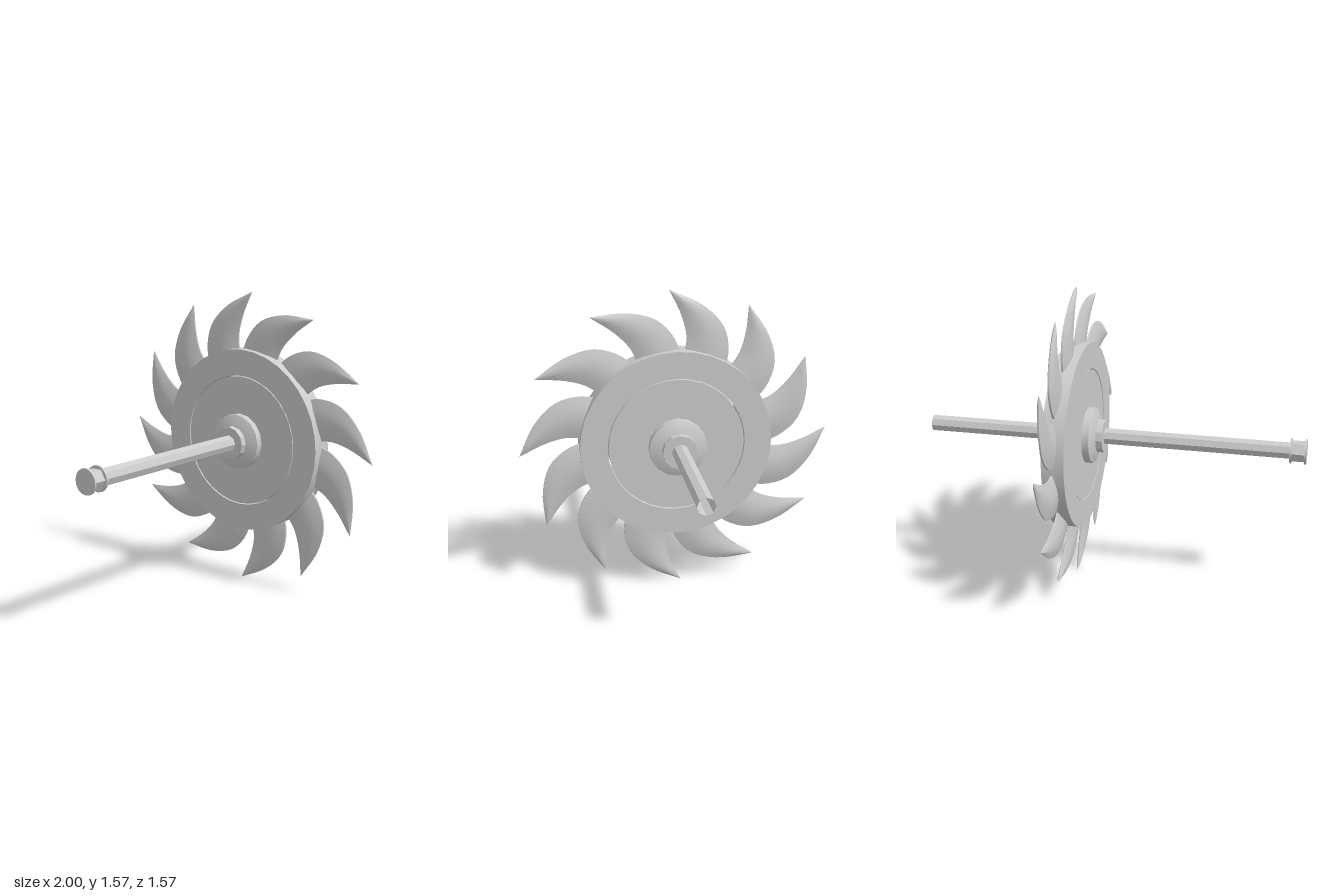
import * as THREE from 'three';
import { toCreasedNormals } from 'three/addons/utils/BufferGeometryUtils.js';

const AXIS_Y = 0.79;
const BLADES = 12;
const material = new THREE.MeshStandardMaterial({ color: 0xcccccc });
const openMaterial = new THREE.MeshStandardMaterial({ color: 0xcccccc, side: THREE.DoubleSide });

// Solid turned about the x axis; the profile is a list of [radius, x] with x rising on the outside
function turned(name, profile, sides, mat = material) {
  const points = profile.map(([r, x]) => new THREE.Vector2(r, x));
  const geometry = new THREE.LatheGeometry(points, sides);
  geometry.rotateZ(-Math.PI / 2);
  const mesh = new THREE.Mesh(toCreasedNormals(geometry, 0.5), mat);
  mesh.name = name;
  return mesh;
}

const drum = (name, x0, x1, r, sides) =>
  turned(name, [[0, x0], [r, x0], [r, x1], [0, x1]], sides);

// Hooked blade with a lens-shaped section, lofted from root to tip
function bladeGeometry() {
  const curve = (pts) => new THREE.CatmullRomCurve3(pts.map(([a, b]) => new THREE.Vector3(0, b, -a)));
  const concave = curve([[0.03, 0.4], [0.052, 0.49], [0.055, 0.56], [0.027, 0.665], [-0.031, 0.787]]);
  const convex = curve([[0.25, 0.36], [0.268, 0.48], [0.238, 0.6], [0.135, 0.705], [-0.031, 0.787]]);
  const rows = 14, cols = 8, loop = 2 * (cols + 1);
  const position = [], index = [];
  for (let i = 0; i <= rows; i++) {
    const t = i / rows;
    const p = concave.getPoint(t), q = convex.getPoint(t);
    const half = 0.025 * Math.sqrt(1 - t * t);
    for (let k = 0; k < loop; k++) {
      const back = k > cols;
      const s = (back ? loop - 1 - k : k) / cols;
      const v = p.clone().lerp(q, s);
      const lens = half * (0.2 + 0.8 * Math.sin(Math.PI * s));
      position.push(back ? -lens : lens, v.y, v.z);
    }
  }
  for (let i = 0; i < rows; i++) {
    for (let k = 0; k < loop; k++) {
      const a = i * loop + k, b = i * loop + (k + 1) % loop;
      index.push(a, b, a + loop, b, b + loop, a + loop);
    }
  }
  const geometry = new THREE.BufferGeometry();
  geometry.setAttribute('position', new THREE.Float32BufferAttribute(position, 3));
  geometry.setIndex(index);
  return toCreasedNormals(geometry, 0.6);
}

export function createModel() {
  const model = new THREE.Group();
  model.name = 'bladedWheelOnShaft';
  const wheel = new THREE.Group();
  wheel.name = 'wheelAssembly';
  wheel.position.y = AXIS_Y;
  model.add(wheel);

  // Long shaft, hollow at its free end
  wheel.add(turned('shaft', [[0.044, -0.93], [0.044, 1]], 8, openMaterial));

  // Flanged bolt head at the far end of the shaft
  const head = new THREE.Group();
  head.name = 'boltHead';
  head.add(
    drum('headCap', -1, -0.99, 0.064, 16),
    drum('headHexagon', -0.99, -0.925, 0.054, 6),
    drum('headWasher', -0.925, -0.915, 0.064, 16),
  );
  wheel.add(head);

  // Outer rim and the inner disc, separated by a hairline gap
  wheel.add(turned('rim',
    [[0.35, 0.14], [0.488, 0.14], [0.488, 0.255], [0.35, 0.255], [0.35, 0.14]], 36));
  wheel.add(drum('innerDisc', 0.142, 0.253, 0.345, 32));

  // Chamfered flange and nut, mirrored on both faces
  for (const side of [-1, 1]) {
    const hub = new THREE.Group();
    hub.name = side > 0 ? 'leftHub' : 'rightHub';
    hub.position.x = side > 0 ? 0.265 : 0.14;
    if (side < 0) hub.rotation.y = Math.PI;
    hub.add(
      turned('flange', [[0, 0], [0.147, 0], [0.147, 0.037], [0.092, 0.06], [0, 0.06]], 16),
      drum('nut', 0.055, 0.094, 0.088, 12),
    );
    wheel.add(hub);
  }

  // Ring of curved blades
  const blade = bladeGeometry();
  for (let i = 0; i < BLADES; i++) {
    const mesh = new THREE.Mesh(blade, material);
    mesh.name = 'blade' + (i + 1);
    mesh.position.x = 0.202;
    mesh.rotation.x = (i / BLADES) * Math.PI * 2;
    wheel.add(mesh);
  }
  return model;
}
